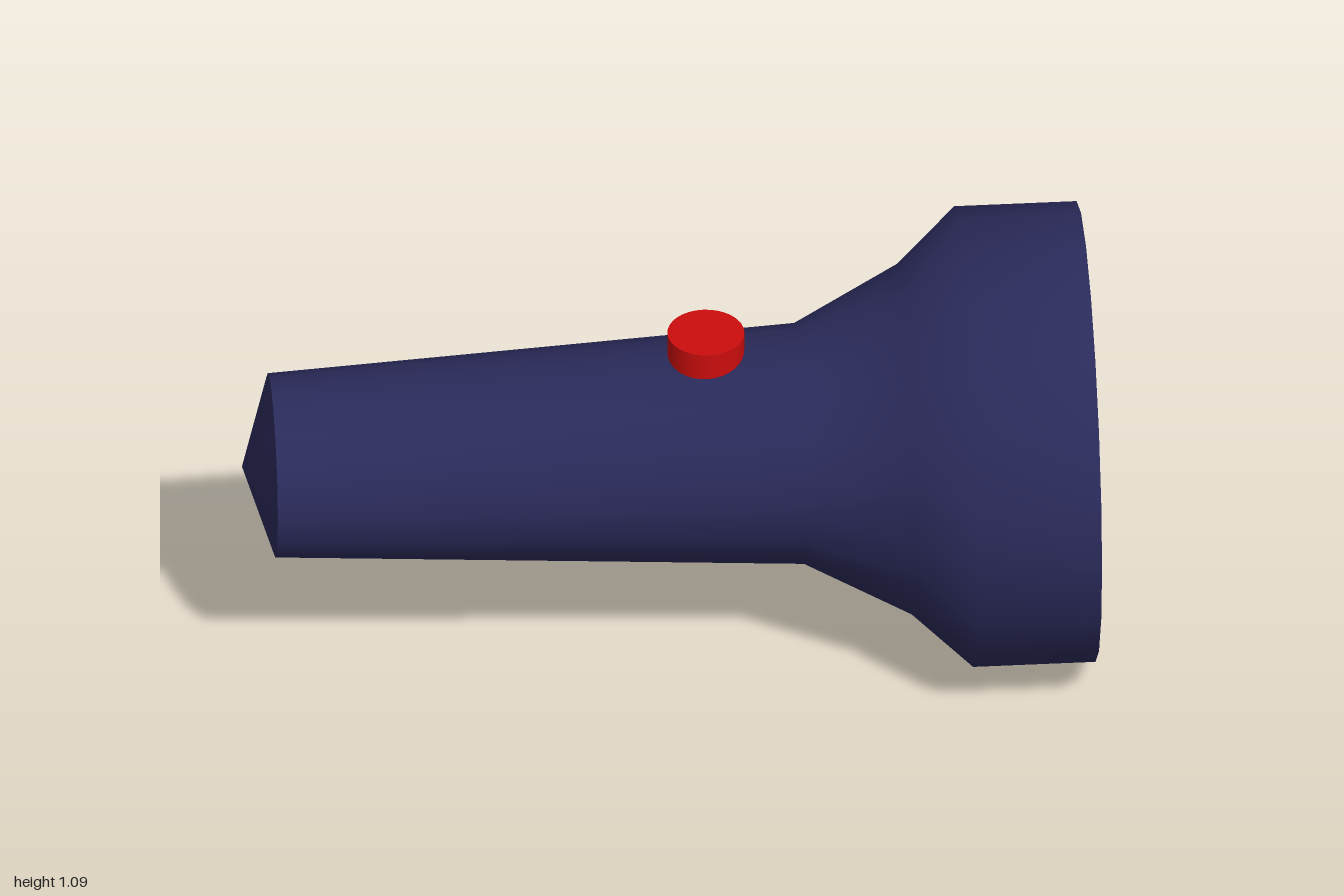
import * as THREE from 'three';
import { toCreasedNormals } from 'three/addons/utils/BufferGeometryUtils.js';

const AXIS_Y = 0.545;
const SIDES = 20;

function createPart(name, geometry, color) {
  const mesh = new THREE.Mesh(geometry, new THREE.MeshStandardMaterial({ color }));
  mesh.name = name;
  return mesh;
}

// Turns a profile of [x, radius] pairs around the long axis
function turned(profile) {
  const points = profile.map(([x, r]) => new THREE.Vector2(r, x));
  const geometry = new THREE.LatheGeometry(points, SIDES);
  geometry.rotateZ(-Math.PI / 2);
  return toCreasedNormals(geometry, 0.9);
}

export function createModel() {
  const model = new THREE.Group();
  model.name = 'flashlight';

  // Tapered handle, flared head and flat front rim
  const body = createPart('body', turned([
    [-1, 0], [-0.93, 0.218], [0.32, 0.285], [0.57, 0.415],
    [0.71, 0.545], [1, 0.545], [1, 0.43],
  ]), 0x2b2b5c);
  body.position.y = AXIS_Y;

  // Conical reflector, closed behind the bulb
  const reflector = createPart('reflector', turned([
    [1, 0.43], [0.68, 0.2], [0.46, 0],
  ]), 0x808080);
  reflector.position.y = AXIS_Y;

  // Round bulb seated in the reflector
  const bulb = createPart('bulb', new THREE.SphereGeometry(0.204, 32, 20), 0xe0e010);
  bulb.position.set(0.68, 0.542, 0.011);

  // Push button on top of the handle
  const button = createPart('button', new THREE.CylinderGeometry(0.091, 0.091, 0.115, 32), 0xcc0d0d);
  button.position.set(0.1, 0.8175, -0.01);

  model.add(body, reflector, bulb, button);
  return model;
}
